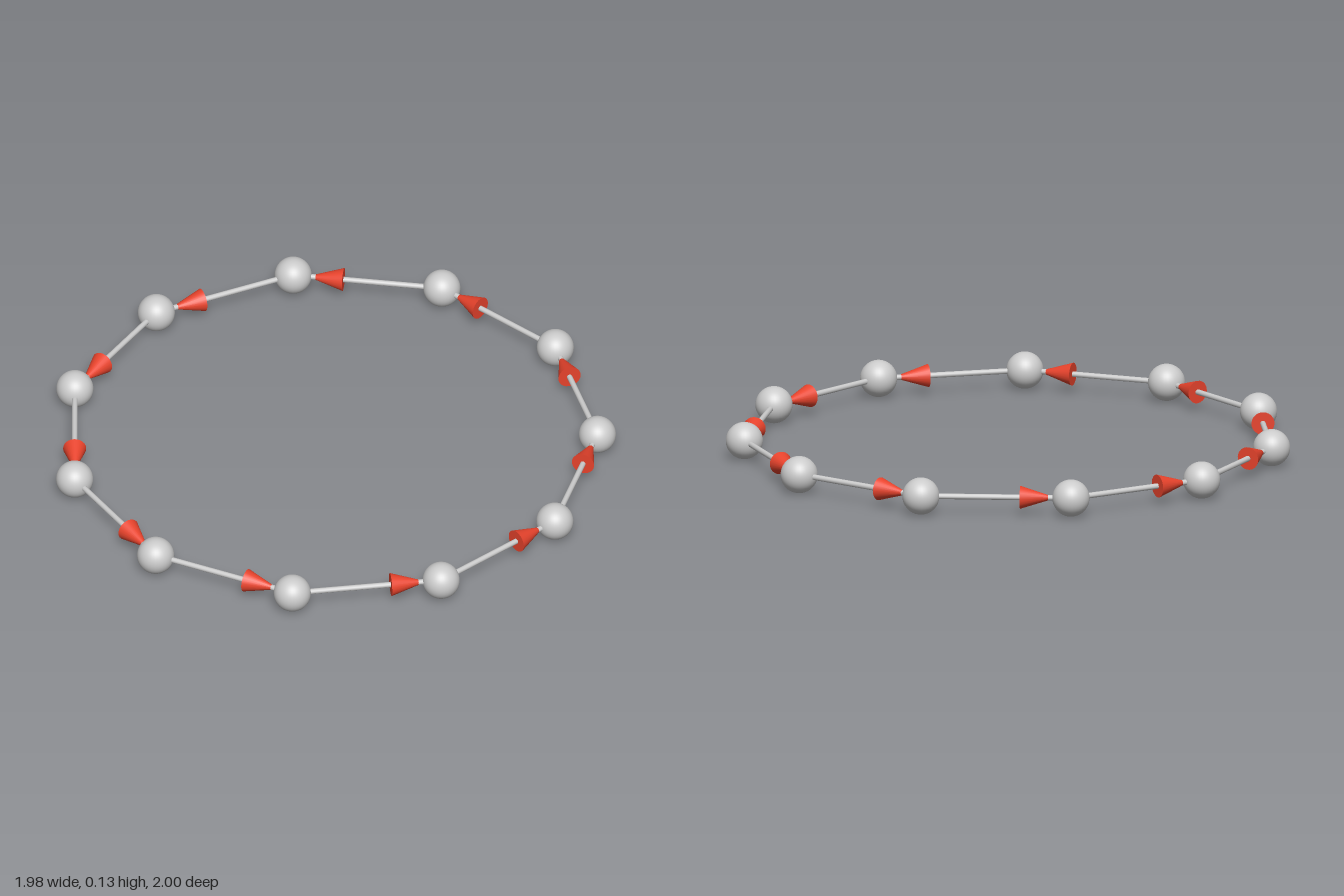
import * as THREE from 'three';

const COUNT = 11;
const RING = 0.9436;      // radius of the circle through the nodes
const NODE = 0.066;       // node radius, also the height of the ring
const OFFSET_X = -0.019;  // centres the odd-sided ring
const UP = new THREE.Vector3(0, 1, 0);

export function createModel() {
  const model = new THREE.Group();
  const grey = new THREE.MeshStandardMaterial({ color: 0xcccccc });
  const red = new THREE.MeshStandardMaterial({ color: 0xe8432c });

  const nodeAt = (i) => {
    const a = (i / COUNT) * Math.PI * 2;
    return new THREE.Vector3(OFFSET_X + RING * Math.cos(a), NODE, -RING * Math.sin(a));
  };

  const edge = 2 * RING * Math.sin(Math.PI / COUNT);
  const tipGap = 0.05, headLength = 0.13;
  const sphereGeo = new THREE.SphereGeometry(NODE, 32, 24);
  const rodGeo = new THREE.CylinderGeometry(0.01, 0.01, edge, 12);
  const headGeo = new THREE.ConeGeometry(0.041, headLength, 24);

  for (let i = 0; i < COUNT; i++) {
    const start = nodeAt(i), end = nodeAt(i + 1);
    const dir = end.clone().sub(start).normalize();

    // Ball at each corner
    const node = new THREE.Mesh(sphereGeo, grey);
    node.name = 'node';
    node.position.copy(start);

    // Thin rod to the next ball
    const rod = new THREE.Mesh(rodGeo, grey);
    rod.name = 'rod';
    rod.position.copy(start).lerp(end, 0.5);
    rod.quaternion.setFromUnitVectors(UP, dir);

    // Arrowhead pointing into the next ball
    const head = new THREE.Mesh(headGeo, red);
    head.name = 'arrowhead';
    head.position.copy(end).addScaledVector(dir, -(tipGap + headLength / 2));
    head.quaternion.copy(rod.quaternion);

    model.add(node, rod, head);
  }
  return model;
}
